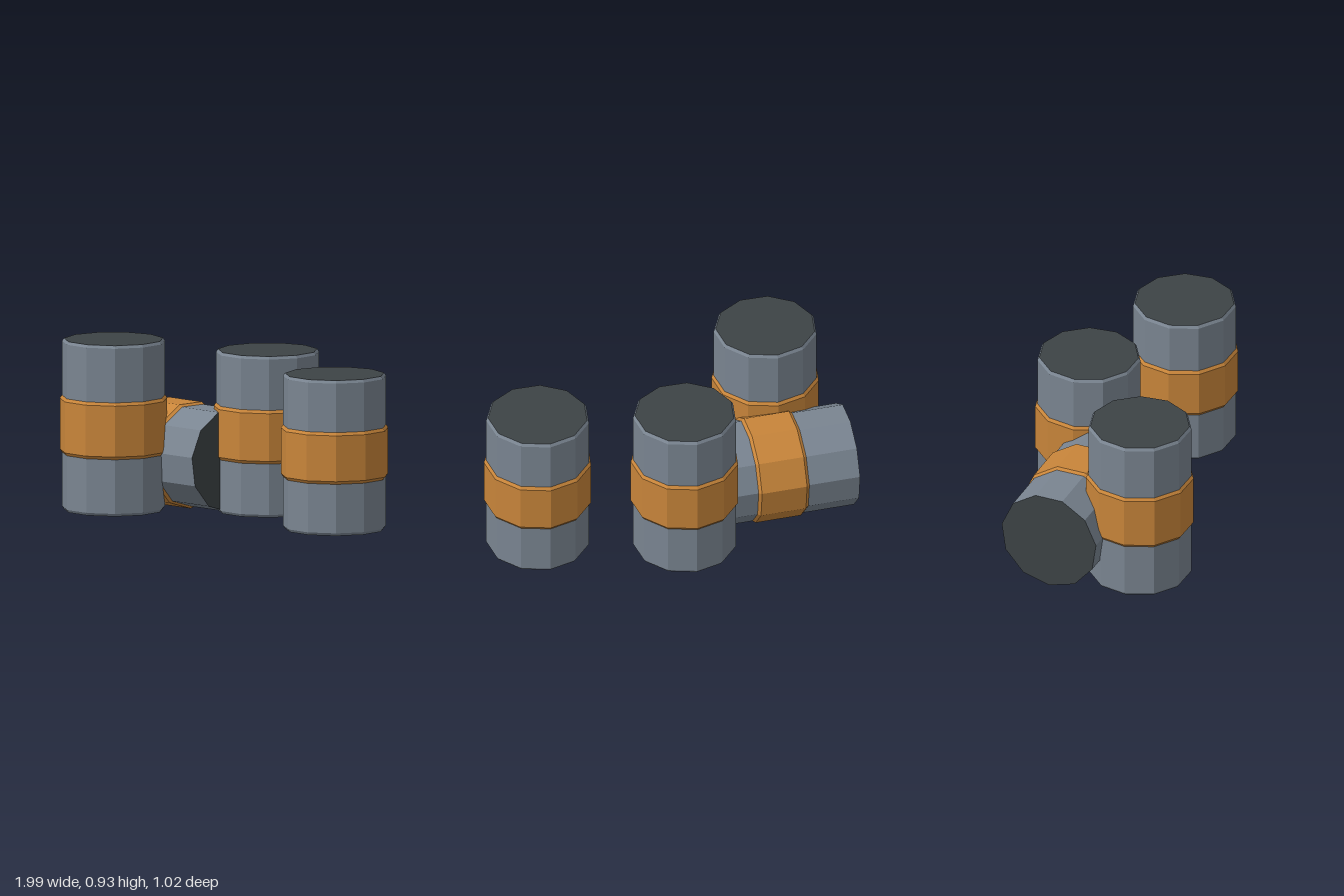
import * as THREE from 'three';

const SIDES = 11;
const BODY_R = 0.277;
const BAND_R = 0.289;

const bodyMat = new THREE.MeshStandardMaterial({ color: 0x7a8591 });
bodyMat.name = 'greyMetal';
const bandMat = new THREE.MeshStandardMaterial({ color: 0xc8853a });
bandMat.name = 'orangePaint';
const capMat = new THREE.MeshStandardMaterial({ color: 0x3d4346 });
capMat.name = 'darkLid';

// Faceted ring surface from a profile of [radius, height] pairs, listed bottom to top
function facetedLathe(profile, phase) {
  const points = profile.map(([r, y]) => new THREE.Vector2(r, y));
  const geometry = new THREE.LatheGeometry(points, SIDES, phase).toNonIndexed();
  geometry.computeVertexNormals();
  return geometry;
}

function addMesh(group, name, geometry, material) {
  const mesh = new THREE.Mesh(geometry, material);
  mesh.name = name;
  group.add(mesh);
}

// Barrel centred on its own axis; bevel is the chamfer at both ends
function makeBarrel(name, height, phase, bevel) {
  const barrel = new THREE.Group();
  barrel.name = name;
  const h = height / 2;
  const band = height / 6;
  const slope = 0.016;
  const capR = BODY_R - bevel * 0.7;
  const end = bevel ? [[capR, -h], [BODY_R, -h + bevel]] : [[BODY_R, -h]];
  const mirrored = end.map(([r, y]) => [r, -y]).reverse();

  // Lower and upper shell
  addMesh(barrel, 'lowerShell', facetedLathe([...end, [BODY_R, -band]], phase), bodyMat);
  addMesh(barrel, 'upperShell', facetedLathe([[BODY_R, band], ...mirrored], phase), bodyMat);

  // Raised painted band with sloped edges
  addMesh(barrel, 'band', facetedLathe([
    [BODY_R, -band], [BAND_R, -band + slope], [BAND_R, band - slope], [BODY_R, band],
  ], phase), bandMat);

  // Dark end caps
  const lid = new THREE.CircleGeometry(capR, SIDES, phase - Math.PI / 2);
  lid.rotateX(-Math.PI / 2).translate(0, h, 0);
  addMesh(barrel, 'topCap', lid, capMat);
  const base = new THREE.CircleGeometry(capR, SIDES, Math.PI / 2 - phase);
  base.rotateX(Math.PI / 2).translate(0, -h, 0);
  addMesh(barrel, 'bottomCap', base, capMat);
  return barrel;
}

export function createModel() {
  const model = new THREE.Group();
  model.name = 'barrelCluster';

  // Standing barrels: name, x, z, height
  const standing = [
    ['rightBarrel', -0.68, 0.222, 0.918],
    ['middleBarrel', 0.007, -0.228, 0.866],
    ['leftBarrel', 0.706, 0.123, 0.835],
  ];
  for (const [name, x, z, height] of standing) {
    const barrel = makeBarrel(name, height, THREE.MathUtils.degToRad(5), 0.015);
    barrel.position.set(x, 0.011 + height / 2, z);
    model.add(barrel);
  }

  // Barrel lying on its side behind the others
  const fallen = makeBarrel('fallenBarrel', 0.84, Math.PI / 2, 0);
  fallen.rotation.set(0, THREE.MathUtils.degToRad(-10), -Math.PI / 2);
  fallen.position.set(-0.541, BAND_R, -0.137);
  model.add(fallen);

  return model;
}
